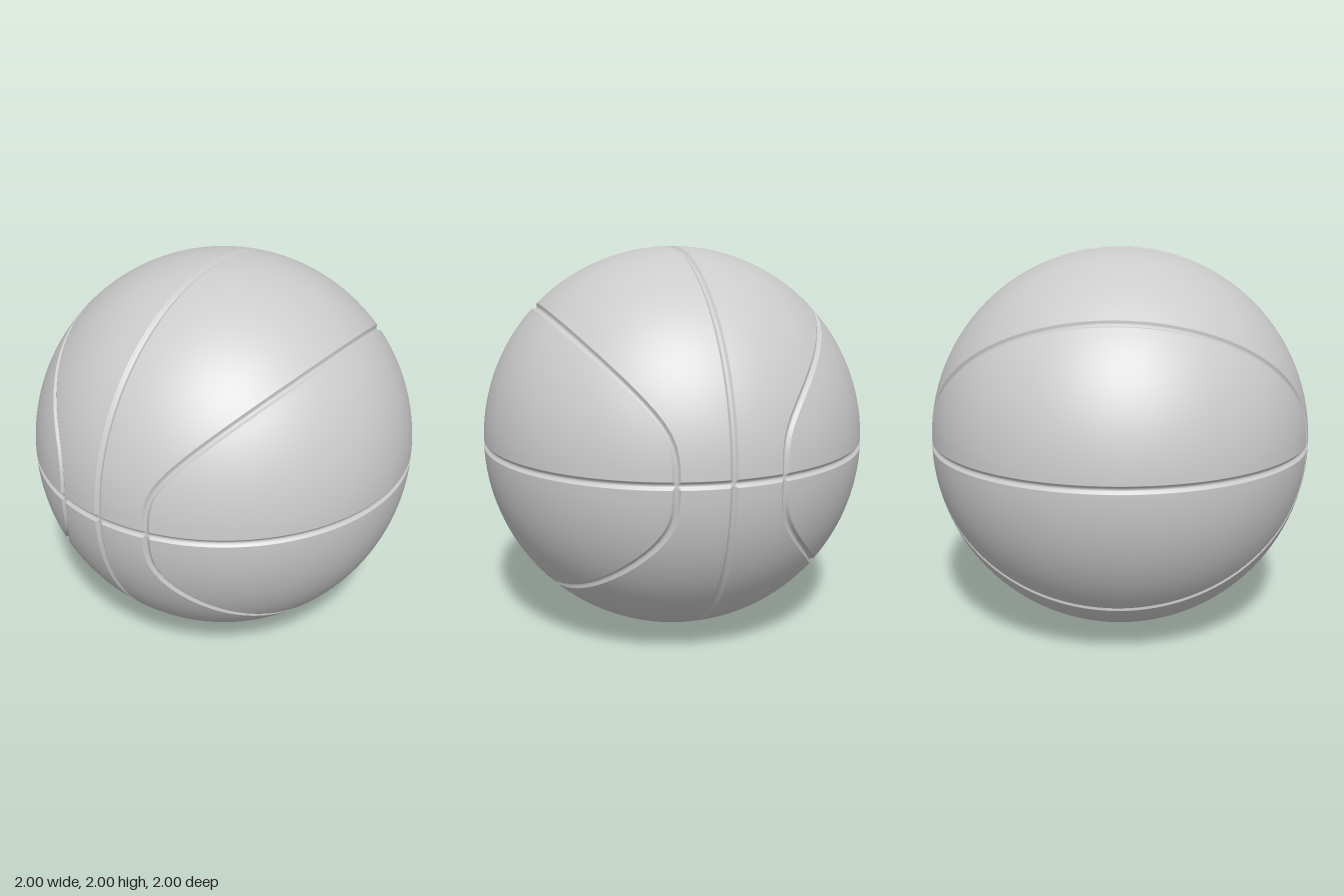
import * as THREE from 'three';
import { mergeVertices } from 'three/addons/utils/BufferGeometryUtils.js';

const W = 0.018;      // half width of a groove
const DEPTH = 0.014;  // groove depth
const WAIST = 0.262;  // how near the curved seams come to the middle seam
const OFFSETS = [0, 0.35, 0.7, 1, 1.15].map(k => k * W);
const BOTH = [...OFFSETS.slice(1).reverse().map(d => -d), ...OFFSETS];

// Polar angle from the z axis of the curved seam |z|^4 = WAIST^4 + y^4
function seamAngle(phi) {
  const s = Math.sin(phi) ** 4, k = WAIST ** 4;
  const c = (k + s) / (s + Math.sqrt(s * s + (1 - s) * (k + s)));
  return Math.acos(Math.sqrt(c));
}

// Stretch that turns a distance across the curved seam into a polar angle
function seamStretch(phi) {
  const slope = (seamAngle(phi + 1e-4) - seamAngle(phi - 1e-4)) / 2e-4;
  return Math.hypot(1, slope / Math.sin(seamAngle(phi)));
}

// Fill the gap between the last entry and the next stop with even steps
function fill(list, to, n) {
  const from = list[list.length - 1];
  for (let i = 1; i < n; i++) list.push(from + (to - from) * i / n);
}

// Polar angles of all rows at one longitude, crowded around the grooves
function rowAngles(phi) {
  const g = seamAngle(phi), k = seamStretch(phi);
  const half = [...OFFSETS, 1.6 * W, 2.6 * W];
  const seam = BOTH.map(d => g + d * k);
  fill(half, seam[0], 22);
  half.push(...seam);
  fill(half, Math.PI / 2 - OFFSETS[4], 14);
  const middle = BOTH.map(d => Math.PI / 2 + d);
  return [...half, ...middle, ...half.map(t => Math.PI - t).reverse()];
}

// Longitudes of half a ring, crowded around the equator groove
function columnAngles(theta) {
  const s = Math.max(Math.sin(theta), 1e-6);
  const start = OFFSETS.map(d => Math.asin(Math.min(1, d / s)));
  const list = [...start];
  fill(list, Math.PI - start[4], 56);
  return [...list, ...start.map(a => Math.PI - a).reverse()];
}

// Surface point: unit sphere lowered inside the grooves
function surfacePoint(theta, phi) {
  const p = new THREE.Vector3(
    Math.sin(theta) * Math.cos(phi), Math.sin(theta) * Math.sin(phi), Math.cos(theta));
  const polar = Math.min(theta, Math.PI - theta);
  const curved = Math.abs(polar - seamAngle(phi)) / seamStretch(phi);
  const d = Math.min(Math.abs(p.y), Math.abs(p.z), curved) / W;
  return p.multiplyScalar(1 - DEPTH * Math.max(0, 1 - d * d));
}

function ballGeometry() {
  const rows = rowAngles(0).length;
  const half = columnAngles(1).length;
  const ring = 2 * half - 2;
  const positions = [], indices = [];
  for (let i = 0; i < rows; i++) {
    for (let j = 0; j < ring; j++) {
      // Settle the crossing of row i and column j
      const col = j < half ? j : ring - j;
      let phi = Math.PI * col / (half - 1), theta = 0;
      for (let n = 0; n < 8; n++) {
        theta = rowAngles(phi)[i];
        phi = columnAngles(theta)[col];
      }
      positions.push(...surfacePoint(theta, j < half ? phi : -phi).toArray());
      if (i < rows - 1) {
        const k = (j + 1) % ring;
        const a = i * ring + j, b = a + ring, c = (i + 1) * ring + k, d = i * ring + k;
        indices.push(a, b, c, a, c, d);
      }
    }
  }
  let geometry = new THREE.BufferGeometry();
  geometry.setAttribute('position', new THREE.Float32BufferAttribute(positions, 3));
  geometry.setIndex(indices);
  geometry = mergeVertices(geometry, 1e-5);
  geometry.computeVertexNormals();
  return geometry;
}

export function createModel() {
  const model = new THREE.Group();
  model.name = 'basketball';
  const ball = new THREE.Mesh(ballGeometry(), new THREE.MeshStandardMaterial({ color: 0xcccccc }));
  ball.name = 'groovedBall';
  ball.position.y = 1;
  model.add(ball);
  return model;
}
